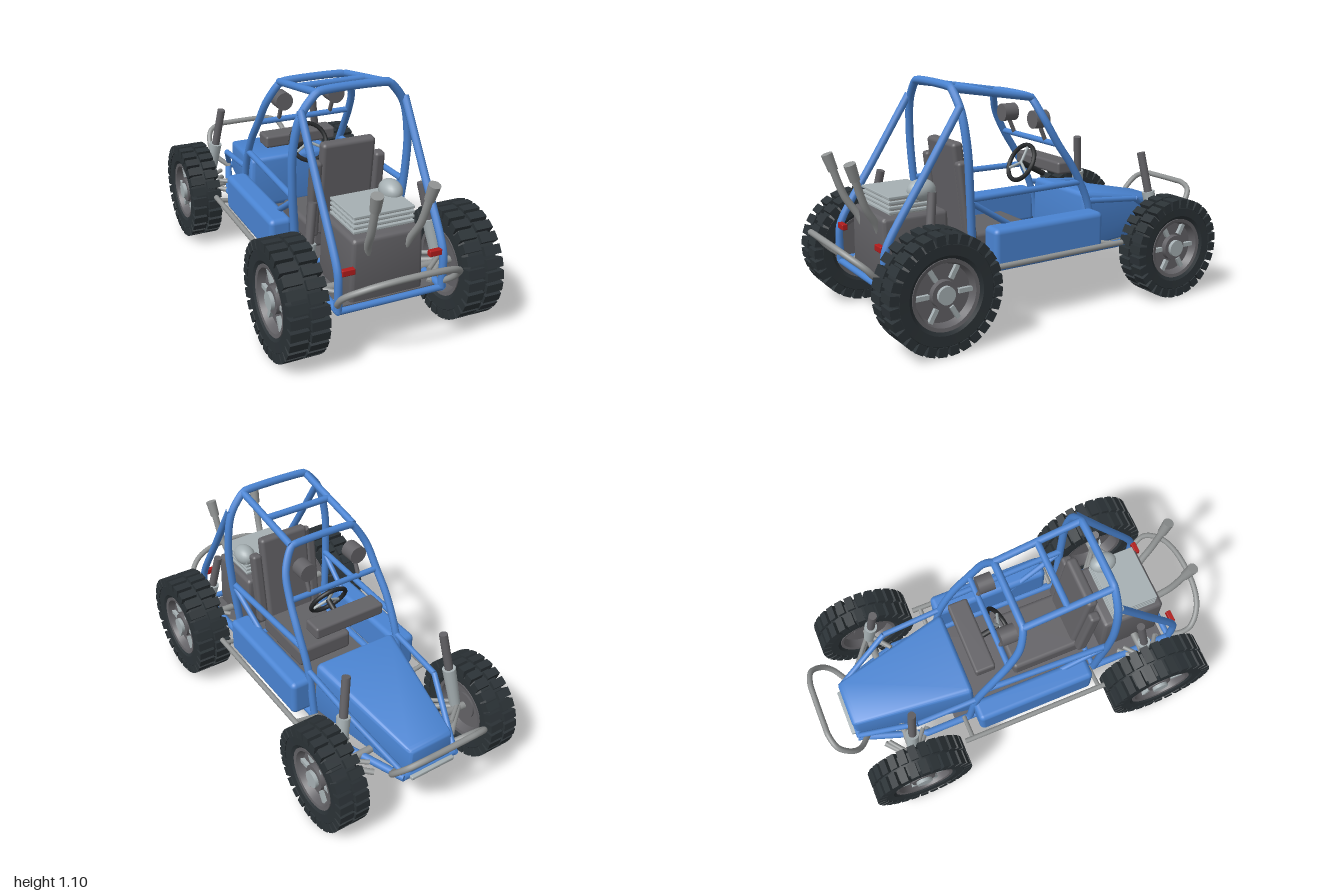
import * as THREE from 'three';
import { mergeGeometries, toCreasedNormals } from 'three/addons/utils/BufferGeometryUtils.js';
import { RoundedBoxGeometry } from 'three/addons/geometries/RoundedBoxGeometry.js';

const paint = (name, color) => {
  const m = new THREE.MeshStandardMaterial({ color });
  m.name = name;
  return m;
};
const V = (p) => new THREE.Vector3(...p);
const flip = (p, s) => [p[0] * s, p[1], p[2]];

export function createModel() {
  const model = new THREE.Group();
  model.name = 'buggy';
  const blue = paint('framePaint', 0x4a84d2);
  const rubber = paint('tyreRubber', 0x2b3236);
  const grey = paint('darkGrey', 0x636266);
  const steel = paint('tubeSteel', 0x909393);
  const light = paint('lightMetal', 0xa6b0b3);
  const red = paint('tailRed', 0xb01c1c);
  const black = paint('steeringBlack', 0x26282a);

  function add(name, geo, mat, pos = [0, 0, 0], parent = model) {
    const m = new THREE.Mesh(geo, mat);
    m.name = name;
    m.position.set(...pos);
    parent.add(m);
    return m;
  }
  // Straight rod between two points
  function rod(name, a, b, r, mat, parent = model, r2 = r) {
    const d = V(b).sub(V(a));
    const m = add(name, new THREE.CylinderGeometry(r2, r, d.length(), 12), mat,
      V(a).add(V(b)).multiplyScalar(0.5).toArray(), parent);
    m.quaternion.setFromUnitVectors(new THREE.Vector3(0, 1, 0), d.normalize());
    return m;
  }
  // Bent pipe through points
  function pipe(name, pts, r, mat) {
    const curve = new THREE.CatmullRomCurve3(pts.map(V), false, 'centripetal');
    return add(name, new THREE.TubeGeometry(curve, pts.length * 8, r, 10), mat);
  }
  // Points of a half, continued by its mirror image
  const mirrored = (half) => [...half, ...half.slice().reverse().map((p) => flip(p, -1))];
  const box = (name, size, pos, mat, r = 0.01) =>
    add(name, r ? new RoundedBoxGeometry(...size, 3, r) : new THREE.BoxGeometry(...size), mat, pos);
  // Rounded box whose vertices are moved by a rule
  function shaped(name, size, r, mat, rule) {
    const g = new RoundedBoxGeometry(...size, 3, r);
    const p = g.attributes.position;
    for (let i = 0; i < p.count; i++) p.setXYZ(i, ...rule(p.getX(i), p.getY(i), p.getZ(i)));
    return add(name, toCreasedNormals(g, 0.5), mat);
  }

  // Wheels, built around the y axis with +y facing outwards
  function wheel(name, side, R, W, y, z) {
    const g = new THREE.Group();
    g.name = name;
    g.position.set(side * 0.415, y, z);
    g.rotation.z = -side * Math.PI / 2;
    model.add(g);
    const h = W / 2, b = R - 0.02, q = 0.58 * R;
    const profile = [[q, -h + 0.02], [q + 0.02, -h + 0.006], [b - 0.025, -h + 0.004], [b, -h + 0.022], [b, h - 0.022],
      [b - 0.025, h - 0.004], [q + 0.02, h - 0.006], [q, h - 0.02], [q, -h + 0.02]].map((p) => new THREE.Vector2(...p));
    add('tyre', toCreasedNormals(new THREE.LatheGeometry(profile, 48), 0.5), rubber, [0, 0, 0], g);
    const blocks = [], n = 28;
    for (const row of [-1, 1]) {
      for (let i = 0; i < n; i++) {
        const k = new THREE.BoxGeometry(0.042, h - 0.006, 0.7 * 2 * Math.PI * R / n);
        k.translate(R - 0.022, row * (h / 2 + 0.003), 0);
        k.rotateY((i + (row > 0 ? 0.5 : 0)) * 2 * Math.PI / n);
        blocks.push(k);
      }
    }
    add('treadBlocks', mergeGeometries(blocks), rubber, [0, 0, 0], g);
    const rim = [[0, -0.02], [q - 0.025, -0.02], [q - 0.012, -h + 0.015], [q + 0.004, -h + 0.012], [q + 0.004, h - 0.012],
      [q - 0.012, h - 0.015], [q - 0.025, h - 0.05], [0, h - 0.05]].map((p) => new THREE.Vector2(...p));
    add('rim', toCreasedNormals(new THREE.LatheGeometry(rim, 40), 0.5), grey, [0, 0, 0], g);
    add('hub', new THREE.CylinderGeometry(0.06, 0.066, 0.08, 24), grey, [0, h - 0.065, 0], g);
    add('hubCap', new THREE.CylinderGeometry(0.04, 0.04, 0.02, 24), light, [0, h - 0.018, 0], g);
    for (let i = 0; i < 6; i++) {
      const k = new THREE.BoxGeometry(q - 0.085, 0.05, 0.02);
      k.translate((q + 0.055) / 2, h - 0.058, 0);
      k.rotateY(Math.PI / 2 + i * Math.PI / 3);
      add('spoke', k, light, [0, 0, 0], g);
    }
  }
  for (const [s, label] of [[1, 'left'], [-1, 'right']]) {
    wheel(label + 'EngineEndWheel', s, 0.265, 0.178, 0.272, 0.635);
    wheel(label + 'NoseEndWheel', s, 0.247, 0.15, 0.257, -0.645);
  }

  // Roll cage hoops
  pipe('mainHoop', mirrored([[0.25, 0.25, 0.37], [0.265, 0.45, 0.385], [0.28, 0.65, 0.4], [0.28, 0.83, 0.41],
    [0.245, 0.99, 0.42], [0.175, 1.08, 0.425], [0.165, 1.085, 0.425]]), 0.019, blue);
  pipe('screenHoop', mirrored([[0.25, 0.26, -0.315], [0.25, 0.5, -0.265], [0.25, 0.67, -0.18], [0.24, 0.79, -0.1],
    [0.22, 0.91, -0.035], [0.165, 1.005, 0], [0.15, 1.01, 0]]), 0.018, blue);
  rod('roofCrossBar', [-0.175, 1.045, 0.21], [0.175, 1.045, 0.21], 0.016, blue);
  rod('screenCrossBar', [-0.24, 0.79, -0.1], [0.24, 0.79, -0.1], 0.014, blue);
  rod('noseCrossBar', [-0.14, 0.27, -0.86], [0.14, 0.27, -0.86], 0.018, blue);
  for (const z of [0.37, 0.8]) rod('lowerCrossBar', [-0.25, 0.25, z], [0.25, 0.25, z], 0.015, blue);

  for (const s of [1, -1]) {
    const f = (x, y, z) => [x * s, y, z];
    // Cage sides
    rod('roofRail', f(0.175, 1.08, 0.425), f(0.17, 1.01, 0), 0.017, blue);
    pipe('engineStrut', [f(0.25, 1.01, 0.425), f(0.25, 0.73, 0.605), f(0.25, 0.45, 0.785), f(0.25, 0.4, 0.8), f(0.25, 0.25, 0.8)], 0.018, blue);
    rod('doorBar', f(0.27, 0.6, 0.39), f(0.25, 0.6, -0.23), 0.015, blue);
    rod('doorBrace', f(0.27, 0.58, 0.38), f(0.25, 0.4, 0.1), 0.014, blue);
    rod('lowerRail', f(0.25, 0.255, 0.81), f(0.25, 0.255, -0.55), 0.018, blue);
    rod('noseRail', f(0.25, 0.255, -0.54), f(0.14, 0.27, -0.87), 0.018, blue);
    rod('upperNoseRail', f(0.25, 0.5, -0.265), f(0.245, 0.47, -0.57), 0.014, blue);
    rod('upperNoseRailTip', f(0.245, 0.47, -0.57), f(0.14, 0.29, -0.86), 0.014, blue);
    // Side pods and step bars
    box('sidePod', [0.11, 0.18, 0.6], f(0.295, 0.375, 0.01), blue, 0.025);
    rod('stepBar', f(0.375, 0.305, 0.37), f(0.375, 0.305, -0.385), 0.013, steel);
    for (const z of [0.34, -0.345]) rod('stepBarBracket', f(0.25, 0.28, z), f(0.375, 0.305, z), 0.011, steel);
    // Suspension
    for (const [z, y, top, lean] of [[0.635, 0.272, 0.655, 0.575], [-0.645, 0.257, 0.705, -0.585]]) {
      const low = f(0.325, 0.3, z), high = f(0.262, top, lean);
      const mid = V(low).lerp(V(high), 0.52).toArray();
      rod('shockBody', low, mid, 0.026, light, model, 0.032);
      rod('shockTop', V(low).lerp(V(high), 0.45).toArray(), high, 0.02, grey);
      for (const d of [-0.11, 0.11]) {
        rod('lowerArm', f(0.22, 0.25, z + d), f(0.35, y + 0.01, z), 0.014, steel);
        rod('upperArm', f(0.23, 0.3, z + d * 0.8), f(0.345, y + 0.045, z), 0.011, steel);
      }
      rod('axle', f(0.15, 0.27, z), f(0.4, y, z), 0.018, steel);
    }
    // Lamps
    const lamp = add('lamp', new THREE.CylinderGeometry(0.043, 0.043, 0.075, 24), grey, f(0.135, 0.9, -0.06));
    lamp.rotation.x = Math.PI / 2;
    rod('lampBracket', f(0.135, 0.79, -0.1), f(0.135, 0.88, -0.06), 0.01, grey);
    box('tailLight', [0.06, 0.028, 0.025], f(0.207, 0.428, 0.8), red, 0.004);
    // Exhausts
    pipe('exhaust', [f(0.085, 0.44, 0.74), f(0.1, 0.5, 0.765), f(0.115, 0.59, 0.82), f(0.125, 0.73, 0.87)], 0.017, steel);
    rod('exhaustTip', f(0.124, 0.715, 0.865), f(0.13, 0.79, 0.89), 0.023, steel, model, 0.027);
    // Seat bolsters
    const bolster = box('seatBolster', [0.05, 0.38, 0.055], f(0.155, 0.56, 0.35), grey, 0.015);
    bolster.rotation.x = 0.12;
  }

  // Bumpers
  pipe('engineEndBumper', mirrored([[0.25, 0.28, 0.8], [0.275, 0.32, 0.85], [0.275, 0.37, 0.895],
    [0.21, 0.42, 0.95], [0.1, 0.447, 0.98]]), 0.014, steel);
  pipe('noseEndBumper', mirrored([[0.15, 0.28, -0.82], [0.215, 0.34, -0.87], [0.23, 0.39, -0.91],
    [0.205, 0.455, -0.965], [0.14, 0.48, -0.985], [0.08, 0.482, -0.987]]), 0.014, steel);

  // Nose cowl, floor and skid plate
  shaped('noseCowl', [0.45, 0.28, 0.6], 0.03, blue, (x, y, z) => {
    const t = 0.5 - z / 0.6;
    const v = (y + 0.14) / 0.28;
    return [x * (1 - 0.48 * t) * (1.04 - 0.06 * v), 0.25 + v * (0.285 - 0.125 * t), z - 0.57];
  });
  box('floorPan', [0.48, 0.02, 1.16], [0, 0.242, 0.19], grey, 0);
  shaped('skidPlate', [0.31, 0.018, 0.55], 0.004, light, (x, y, z) => {
    const t = 0.5 - z / 0.55;
    return [x * (1 - 0.25 * t), y + 0.22 + 0.05 * t, z - 0.62];
  });

  // Seat, dash and steering
  box('seatCushion', [0.3, 0.1, 0.36], [0, 0.35, 0.15], grey, 0.02);
  const back = box('seatBack', [0.26, 0.46, 0.055], [0, 0.6, 0.345], grey, 0.018);
  back.rotation.x = 0.12;
  box('dash', [0.37, 0.06, 0.1], [0, 0.66, -0.19], grey, 0.012);
  const steering = add('steeringWheel', new THREE.TorusGeometry(0.092, 0.011, 10, 32), black, [0, 0.67, -0.05]);
  steering.rotation.x = -0.5;
  for (let i = 0; i < 3; i++) {
    const a = Math.PI / 2 + i * 2 * Math.PI / 3;
    rod('steeringSpoke', [0, 0, 0], [0.09 * Math.cos(a), 0.09 * Math.sin(a), 0], 0.007, light, steering);
  }
  rod('steeringColumn', [0, 0.67, -0.05], [0, 0.6, -0.18], 0.014, black);

  // Engine block, cooling fins and air filter
  shaped('engineBlock', [0.36, 0.3, 0.32], 0.02, grey, (x, y, z) => [x * (0.95 - 0.2 * y), y + 0.39, z + 0.605]);
  for (let i = 0; i < 4; i++) box('coolingFin', [0.29, 0.013, 0.23], [0, 0.555 + i * 0.022, 0.61], light, 0.003);
  box('engineCore', [0.26, 0.09, 0.2], [0, 0.57, 0.61], steel, 0);
  add('airFilter', new THREE.SphereGeometry(0.05, 24, 16), light, [0.12, 0.635, 0.555]).scale.set(1, 1, 1.35);

  return model;
}
